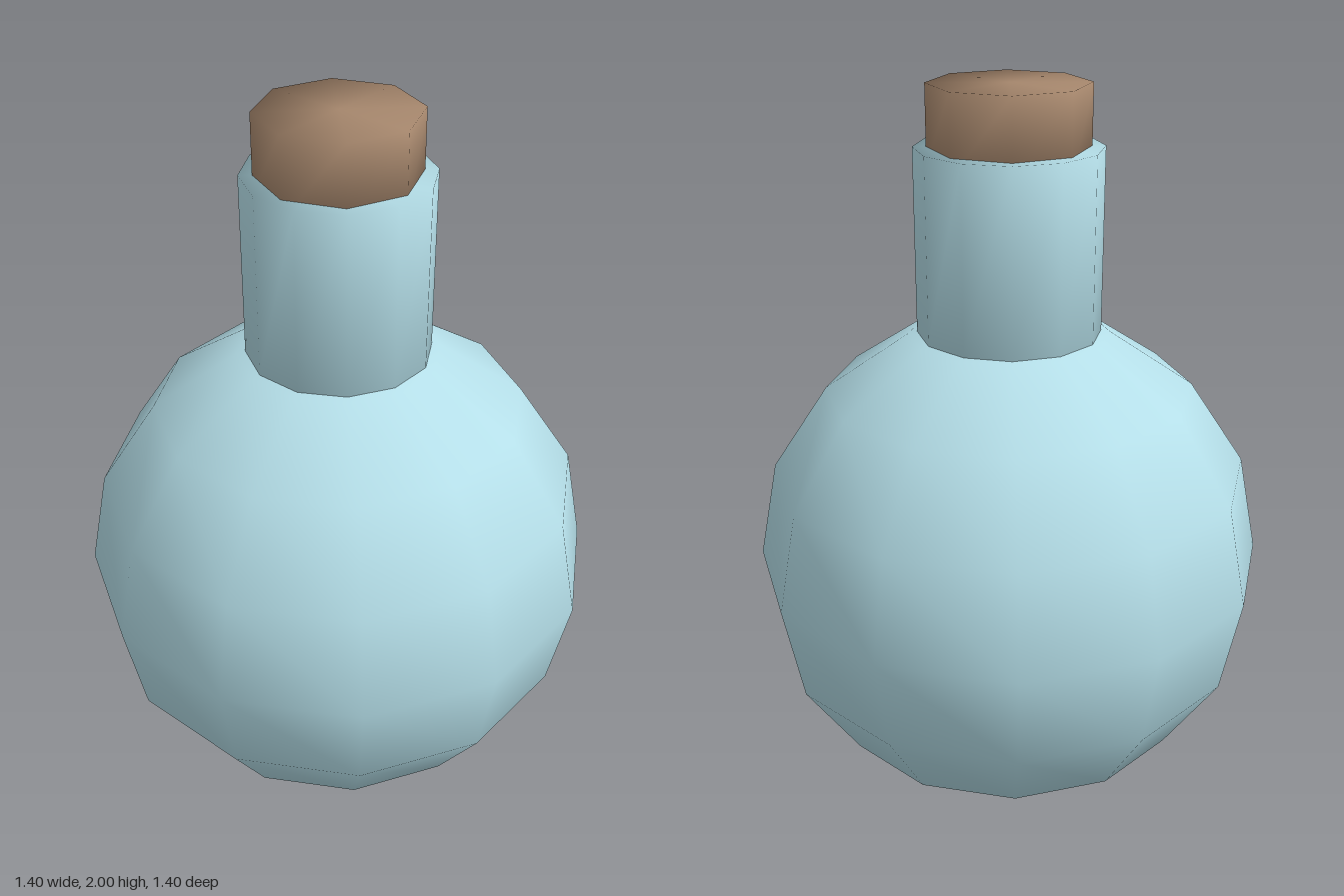
import * as THREE from 'three';
import { mergeVertices } from 'three/addons/utils/BufferGeometryUtils.js';

// Weld all seams so the shading runs softly over the rims of the low-poly shapes
function soften(geometry) {
  geometry.deleteAttribute('normal');
  geometry.deleteAttribute('uv');
  const welded = mergeVertices(geometry, 1e-4);
  welded.computeVertexNormals();
  return welded;
}

function addPart(group, name, geometry, material, y) {
  const mesh = new THREE.Mesh(geometry, material);
  mesh.name = name;
  mesh.position.y = y;
  group.add(mesh);
}

// Upright closed cylinder between two heights
function addColumn(group, name, radius, bottom, top, sides, material) {
  const geometry = soften(new THREE.CylinderGeometry(radius, radius, top - bottom, sides));
  addPart(group, name, geometry, material, (bottom + top) / 2);
}

export function createModel() {
  const model = new THREE.Group();
  model.name = 'flask';
  const glass = new THREE.MeshStandardMaterial({ color: 0xb5dfe9 });
  const corkBrown = new THREE.MeshStandardMaterial({ color: 0xa5866c });

  // Round body
  addPart(model, 'body', new THREE.SphereGeometry(0.7, 12, 8), glass, 0.703);

  // Neck resting on the shoulder of the body
  addColumn(model, 'neck', 0.245, 1.355, 1.843, 12, glass);

  // Stopper, pushed a little way into the neck
  addColumn(model, 'cork', 0.21, 1.79, 2, 8, corkBrown);

  return model;
}
